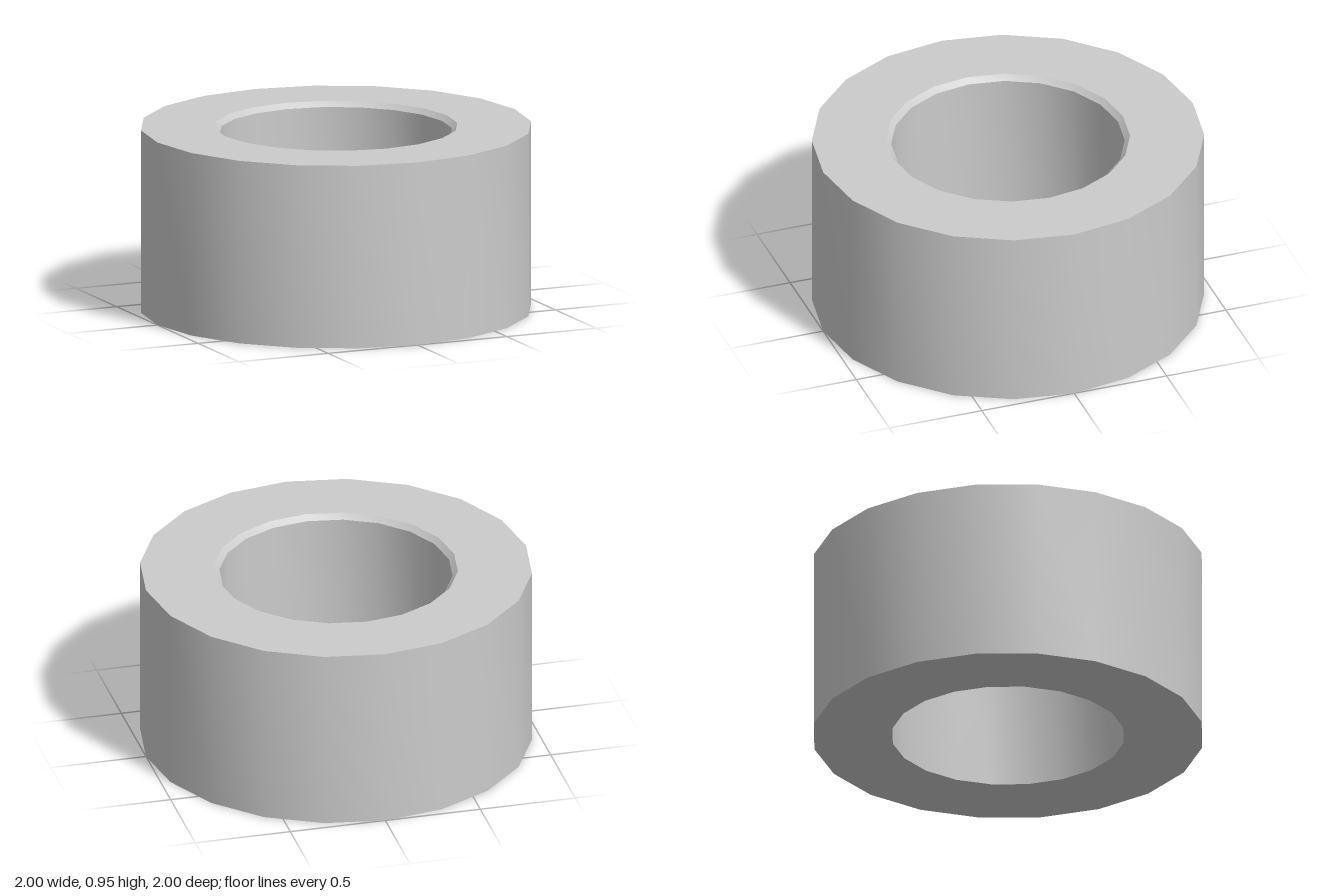
import * as THREE from 'three';
import { toCreasedNormals } from 'three/addons/utils/BufferGeometryUtils.js';

export function createModel() {
  const group = new THREE.Group();
  group.name = 'spacerRing';

  const outer = 1, bore = 0.595, height = 0.95, chamfer = 0.027, sides = 20;

  // Closed cross-section: underside, outer wall, top face, bore chamfer, bore wall
  const profile = [
    [bore, 0],
    [outer, 0],
    [outer, height],
    [bore + chamfer, height],
    [bore, height - chamfer],
    [bore, 0],
  ].map(([r, y]) => new THREE.Vector2(r, y));

  // Walls stay smooth round the ring, while rims and chamfer stay sharp
  const geometry = toCreasedNormals(new THREE.LatheGeometry(profile, sides), Math.PI / 6);
  const ring = new THREE.Mesh(geometry, new THREE.MeshStandardMaterial({ color: 0xcccccc }));
  ring.name = 'ring';
  group.add(ring);

  return group;
}
